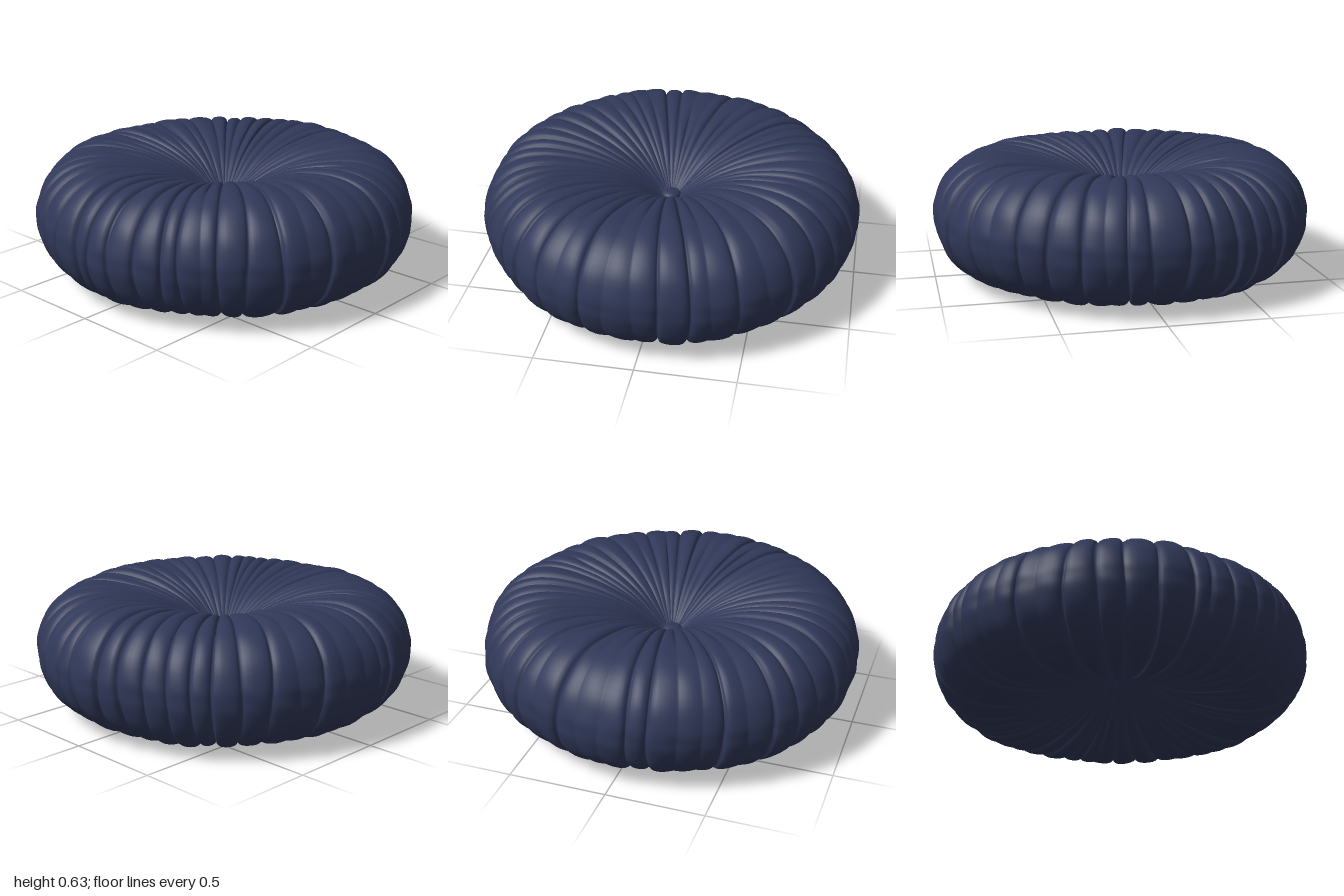
import * as THREE from 'three';

const navyFabric = new THREE.MeshStandardMaterial({ color: 0x303858 });
navyFabric.name = 'navyFabric';

// Small seeded random source for irregular pleats
function seeded(seed) {
  let s = seed;
  return () => {
    s = (s * 16807) % 2147483647;
    return s / 2147483647;
  };
}

const smooth = (x, a, b) => THREE.MathUtils.smoothstep(x, a, b);

// Half section of the cushion (radius, height), top centre to bottom centre
const section = new THREE.SplineCurve([
  [0.012, 0.37], [0.06, 0.39], [0.13, 0.445], [0.26, 0.53], [0.44, 0.596], [0.66, 0.625],
  [0.82, 0.592], [0.93, 0.5], [0.978, 0.39], [0.984, 0.32], [0.976, 0.25], [0.93, 0.145],
  [0.82, 0.052], [0.66, 0.02], [0.44, 0.05], [0.26, 0.118], [0.13, 0.202], [0.06, 0.26], [0.012, 0.28],
].map(([r, y]) => new THREE.Vector2(r, y)));

// Long pleats run all the way round the section (degrees from +x towards +z)
const longPleats = [4, 10, 24, 33, 43, 60, 75, 84, 107, 121, 131, 139, 150, 156, 163, 172, 180, 186,
  195, 205, 213, 222, 237, 258, 265, 286, 302, 311, 318, 324, 331, 338, 346, 354];

function makePleats() {
  const rand = seeded(4177);
  const pleats = [];
  longPleats.forEach((deg, i) => {
    const next = i + 1 < longPleats.length ? longPleats[i + 1] : longPleats[0] + 360;
    const gap = next - deg;
    pleats.push({ deg, reach: 2, depth: 0.75 + 0.5 * rand() });
    // Short pleats gather the wide panels near the buttons only
    const extra = Math.max(0, Math.round(gap / 7) - 1);
    for (let k = 1; k <= extra; k++) {
      pleats.push({ deg: deg + gap * (k + 0.3 * (rand() - 0.5)) / (extra + 1), reach: 0.4 + 0.35 * rand(), depth: 0.8 });
    }
  });
  pleats.forEach((p) => {
    p.phase = rand() * 6.28;
    p.step = (0.4 + 0.6 * rand()) * (rand() < 0.5 ? -1 : 1);
  });
  return pleats;
}

function cushionGeometry() {
  const pleats = makePleats();
  const rows = 72;
  const stops = [0, 0.05, 0.12, 0.24, 0.4, 0.6, 0.76, 0.88, 0.95];
  const columns = pleats.length * stops.length;
  const positions = [];
  const indices = [];

  // Strength of a pleat at one radius, and its slightly wandering angle
  const strength = (p, r) => p.depth * (1 - smooth(r, p.reach - 0.2, p.reach + 0.1));
  const angle = (p, t) => THREE.MathUtils.degToRad(p.deg) + 0.012 * Math.sin(p.phase + t * 9);

  for (let j = 0; j <= rows; j++) {
    const t = j / rows;
    const point = section.getPoint(t);
    const tangent = section.getTangent(t);
    const r = point.x;
    const scale = 0.12 + 0.88 * smooth(r, 0.03, 0.6);
    pleats.forEach((p, i) => {
      const q = pleats[(i + 1) % pleats.length];
      const a = angle(p, t);
      let b = angle(q, t);
      if (b < a) b += Math.PI * 2;
      const here = strength(p, r);
      const there = strength(q, r);
      const width = (b - a) * r;
      for (const u of stops) {
        const theta = a + (b - a) * u;
        // Distance along the surface to the fold on either side
        const cut = 0.009;
        const fold = here * Math.exp(-u * width / cut) + there * Math.exp(-(1 - u) * width / cut);
        // Overlapping cloth stands higher along one edge of a panel
        const overlap = here * p.step * (1 - u) * (1 - u) - there * q.step * u * u;
        const puff = Math.sin(Math.PI * u) * Math.min(0.01, width * 0.06);
        const lump = 0.004 * Math.sin(3 * theta + 5 * t) + 0.003 * Math.sin(7 * theta - 11 * t);
        const crumple = 0.002 * Math.sin(19 * theta + 23 * t) * Math.sin(31 * t + 5 * theta);
        const d = scale * (-0.02 * fold + 0.006 * overlap + puff + lump + crumple);
        const radius = Math.max(0.004, r - tangent.y * d);
        positions.push(radius * Math.cos(theta), point.y + tangent.x * d, radius * Math.sin(theta));
      }
    });
  }

  for (let j = 0; j < rows; j++) {
    for (let i = 0; i < columns; i++) {
      const k = (i + 1) % columns;
      const a = j * columns + i;
      const b = j * columns + k;
      const c = a + columns;
      const d = b + columns;
      indices.push(a, b, c, b, d, c);
    }
  }

  const geometry = new THREE.BufferGeometry();
  geometry.setAttribute('position', new THREE.Float32BufferAttribute(positions, 3));
  geometry.setIndex(indices);
  geometry.computeVertexNormals();
  return geometry;
}

export function createModel() {
  const model = new THREE.Group();
  model.name = 'roundCushion';

  // Pleated round body
  const body = new THREE.Mesh(cushionGeometry(), navyFabric);
  body.name = 'pleatedBody';
  model.add(body);

  // Domed buttons pulling in both faces
  for (const [name, y] of [['topButton', 0.39], ['bottomButton', 0.26]]) {
    const button = new THREE.Mesh(new THREE.SphereGeometry(0.05, 28, 16), navyFabric);
    button.scale.y = 0.45;
    button.position.y = y;
    button.name = name;
    model.add(button);
  }
  return model;
}
